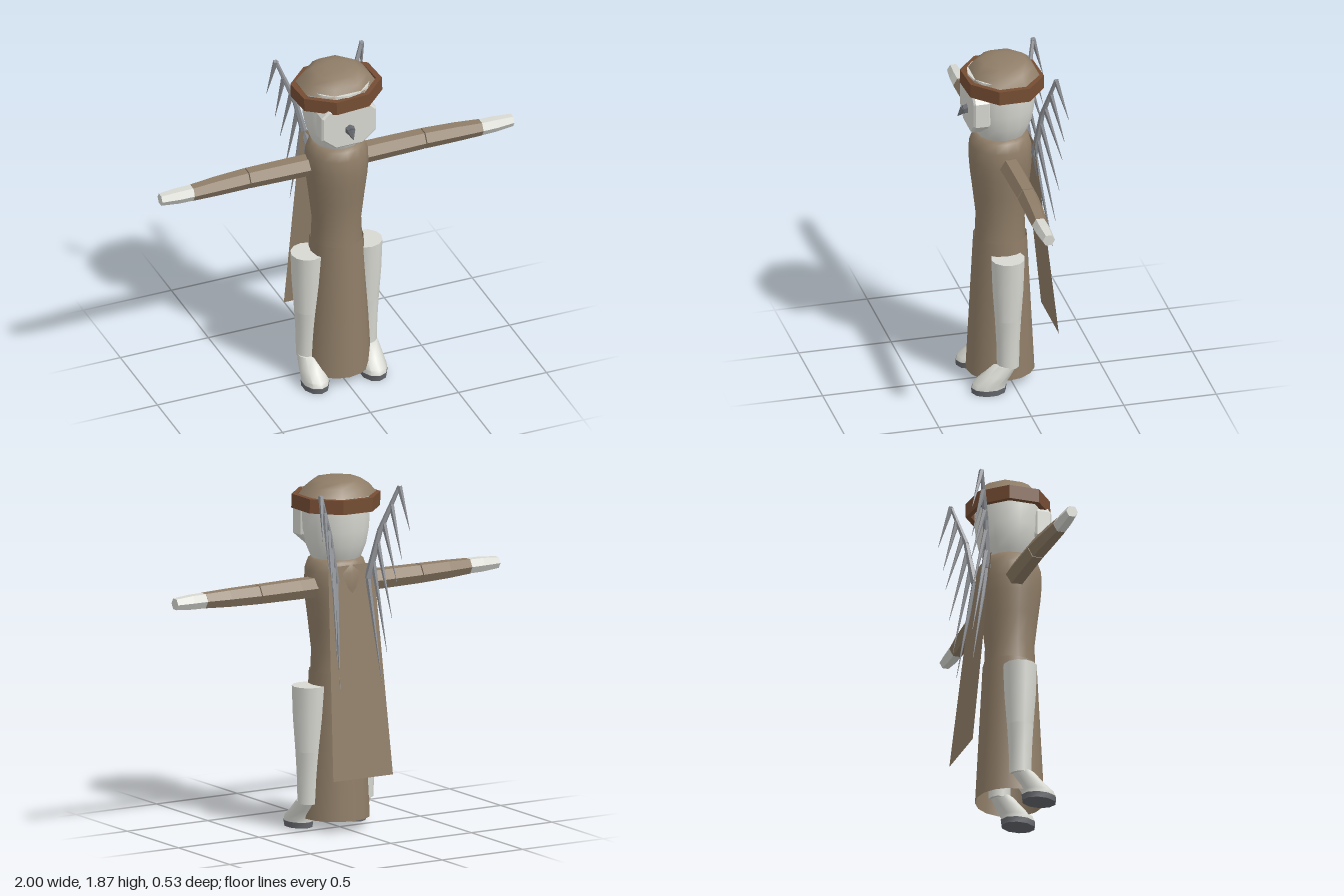
import * as THREE from 'three';
import { toCreasedNormals } from 'three/addons/utils/BufferGeometryUtils.js';

const V = (x, y, z) => new THREE.Vector3(x, y, z);

function makeMaterial(name, color, double = false) {
  const m = new THREE.MeshStandardMaterial({ color });
  m.name = name;
  if (double) m.side = THREE.DoubleSide;
  return m;
}

// Stacks elliptical rings [y, centreX, centreZ, radiusX, radiusZ], listed upwards.
function loft(rings, sides, { flat = false, phase = 0, bottom = true, top = true } = {}) {
  const pos = [], idx = [];
  for (const [y, cx, cz, rx, rz] of rings) {
    for (let i = 0; i < sides; i++) {
      const a = phase + (i / sides) * Math.PI * 2;
      pos.push(cx + Math.sin(a) * rx, y, cz + Math.cos(a) * rz);
    }
  }
  for (let k = 0; k < rings.length - 1; k++) {
    for (let i = 0; i < sides; i++) {
      const a = k * sides + i, b = k * sides + (i + 1) % sides;
      idx.push(a, b, b + sides, a, b + sides, a + sides);
    }
  }
  const cap = (k, up) => {
    const c = pos.length / 3, [y, cx, cz] = rings[k];
    pos.push(cx, y, cz);
    for (let i = 0; i < sides; i++) {
      const a = k * sides + i, b = k * sides + (i + 1) % sides;
      idx.push(c, ...(up ? [a, b] : [b, a]));
    }
  };
  if (bottom) cap(0, false);
  if (top) cap(rings.length - 1, true);
  const g = new THREE.BufferGeometry();
  g.setAttribute('position', new THREE.Float32BufferAttribute(pos, 3));
  g.setIndex(idx);
  return toCreasedNormals(g, flat ? 0.01 : 0.9);
}

export function createModel() {
  const model = new THREE.Group();
  model.name = 'wingedFigure';
  const cloth = makeMaterial('brown cloth', 0x8f7d67, true);
  const pale = makeMaterial('pale grey', 0xd8d8d2);
  const leather = makeMaterial('leather', 0x754d33);
  const steel = makeMaterial('steel grey', 0x8f9297);
  const dark = makeMaterial('dark grey', 0x66696e);

  const add = (name, geo, mat, parent = model) => {
    const m = new THREE.Mesh(geo, mat);
    m.name = name;
    parent.add(m);
    return m;
  };
  // Tapered rod from a to b
  const rod = (name, a, b, ra, rb, sides, mat, parent) => {
    const d = b.clone().sub(a);
    const g = loft([[0, 0, 0, ra, ra], [d.length(), 0, 0, rb, rb]], sides, { flat: true });
    const m = add(name, g, mat, parent);
    m.position.copy(a);
    m.quaternion.setFromUnitVectors(V(0, 1, 0), d.normalize());
    return m;
  };
  const round = (list, cz) => list.map(([y, r]) => [y, 0, cz, r, r]);

  // Robe: bodice and open skirt
  add('bodice', loft(round([[0.8, 0.136], [0.95, 0.13], [1.1, 0.147], [1.22, 0.162], [1.3, 0.168],
    [1.38, 0.165], [1.43, 0.148], [1.445, 0.13]], 0.04), 16), cloth);
  add('skirt', loft(round([[0.055, 0.182], [0.45, 0.162], [0.84, 0.142]], 0.04), 16,
    { bottom: false, top: false }), cloth);

  // Cape hanging behind
  const cape = new THREE.PlaneGeometry(1, 1, 1, 1);
  const corners = [V(0.14, 1.42, -0.11), V(-0.14, 1.42, -0.11), V(0.185, 0.3, -0.23), V(-0.185, 0.3, -0.23)];
  corners.forEach((c, i) => cape.attributes.position.setXYZ(i, c.x, c.y, c.z));
  cape.computeVertexNormals();
  add('cape', cape, cloth);

  // Head, cap and band
  add('head', loft(round([[1.42, 0.115], [1.46, 0.138], [1.52, 0.162], [1.6, 0.177], [1.7, 0.181],
    [1.8, 0.178]], 0.037), 16), pale);
  add('cap', loft([[1.785, 0, 0.025, 0.212, 0.192], [1.83, 0, 0.025, 0.172, 0.163],
    [1.862, 0, 0.022, 0.122, 0.122], [1.873, 0, 0.02, 0.06, 0.06]], 8, { phase: Math.PI / 8 }), cloth);
  const rim = [[1, 0], [1, 0.075], [0.87, 0.075], [0.87, 0], [1, 0]].map(p => new THREE.Vector2(...p));
  const bandGeo = new THREE.LatheGeometry(rim, 8, Math.PI / 8);
  bandGeo.scale(0.245, 1, 0.218);
  const band = add('headband', toCreasedNormals(bandGeo, 0.01), leather);
  band.position.set(0.004, 1.71, 0.032);
  band.rotation.set(-0.02, 0.05, 0.02);

  // Face plate and beak
  const face = new THREE.Shape([[-0.145, 1.56], [-0.075, 1.5], [0.075, 1.5], [0.145, 1.56],
    [0.145, 1.685], [0.11, 1.72], [-0.11, 1.72], [-0.145, 1.685]].map(p => new THREE.Vector2(...p)));
  const faceGeo = new THREE.ExtrudeGeometry(face, { depth: 0.07, bevelThickness: 0.01, bevelSize: 0.01, bevelSegments: 1 });
  add('facePlate', toCreasedNormals(faceGeo, 0.01), pale).position.z = 0.14;
  rod('beakBase', V(0, 1.598, 0.205), V(0, 1.592, 0.24), 0.031, 0.024, 6, dark);
  rod('beakTip', V(0, 1.594, 0.236), V(0, 1.558, 0.27), 0.025, 0.002, 6, dark);

  for (const s of [1, -1]) {
    const side = s > 0 ? 'left' : 'right';

    // Arm: upper, lower and hand, lofted along its length
    const arm = new THREE.Group();
    arm.name = side + 'Arm';
    arm.position.y = 1.297;
    arm.rotation.z = -s * Math.PI / 2;
    model.add(arm);
    const hex = list => loft(list.map(([t, cz, r]) => [t, 0, cz, r, r]), 6, { flat: true });
    add('upperArm', hex([[0.1, 0.025, 0.058], [0.25, 0.022, 0.058], [0.497, 0.02, 0.055]]), cloth, arm);
    add('lowerArm', hex([[0.503, 0.02, 0.055], [0.68, 0.028, 0.051], [0.82, 0.037, 0.044]]), cloth, arm);
    add('hand', hex([[0.82, 0.037, 0.043], [0.9, 0.037, 0.042], [1, 0.035, 0.033]]), pale, arm);

    // Leg and foot
    const leg = new THREE.Group();
    leg.name = side + 'Leg';
    leg.position.x = s * 0.165;
    model.add(leg);
    add('shin', loft(round([[0.14, 0.06], [0.28, 0.063], [0.42, 0.071]], 0.04), 12), pale, leg);
    add('thigh', loft(round([[0.42, 0.071], [0.6, 0.084], [0.77, 0.09]], 0.04), 12), pale, leg);
    add('foot', loft([[0.03, 0, 0.144, 0.071, 0.094], [0.055, 0, 0.139, 0.071, 0.09],
      [0.1, 0, 0.095, 0.067, 0.076], [0.153, 0, 0.052, 0.06, 0.064]], 10), pale, leg);
    add('sole', loft([[0, 0, 0.144, 0.07, 0.092], [0.031, 0, 0.144, 0.073, 0.096]], 10), dark, leg);

    // Wing: two-part bone with six hanging feathers
    const wing = new THREE.Group();
    wing.name = side + 'Wing';
    model.add(wing);
    const root = V(s * 0.1, 1.34, -0.12), mid = V(s * 0.155, 1.59, -0.147), tip = V(s * 0.243, 1.83, -0.2);
    rod('lowerBone', root, mid, 0.02, 0.015, 6, steel, wing);
    rod('upperBone', mid, tip, 0.016, 0.01, 6, steel, wing);
    const ends = [[0.27, 1.6, -0.262], [0.227, 1.45, -0.25], [0.2, 1.33, -0.245],
      [0.175, 1.14, -0.235], [0.155, 0.95, -0.22], [0.13, 0.79, -0.21]];
    ends.forEach(([x, y, z], i) => {
      const t = i / 5;
      const from = t < 0.5 ? tip.clone().lerp(mid, t * 2) : mid.clone().lerp(root, t * 2 - 1);
      rod('feather', from, V(s * x, y, z), 0.015, 0.001, 5, steel, wing);
    });
  }
  return model;
}
